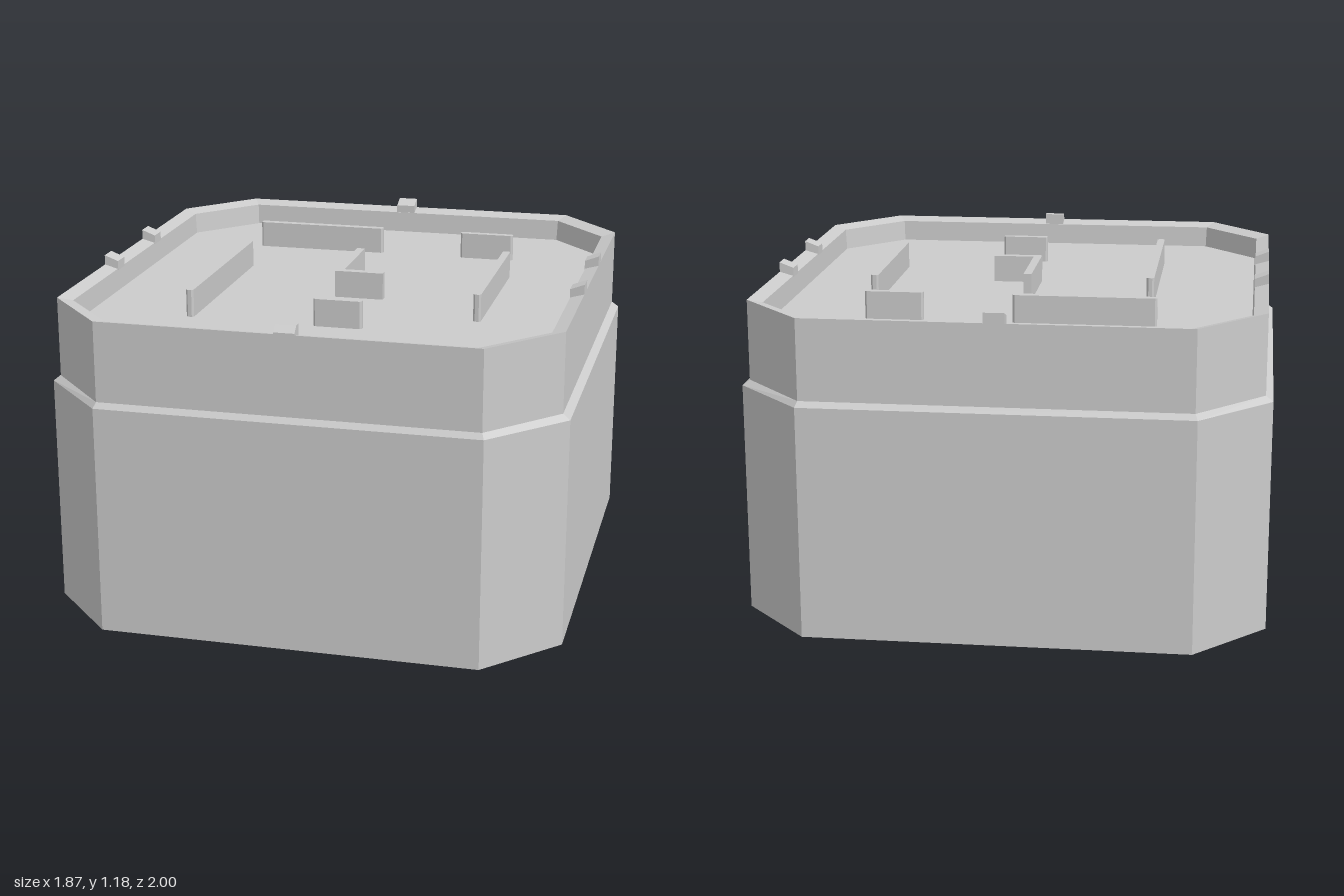
import * as THREE from 'three';
import { mergeGeometries } from 'three/addons/utils/BufferGeometryUtils.js';

const FLOOR = 1.05, BAR_TOP = 1.15;
const material = new THREE.MeshStandardMaterial({ color: 0xcccccc, flatShading: true, side: THREE.DoubleSide });

// Eight-sided outline in plan; second coordinate is -z. hx, hz: half sizes, cx, cz: where the corner cuts begin
function octagon(hx, hz, cx, cz, x = 0, z = 0) {
  return [[hx, -cz], [hx, cz], [cx, hz], [-cx, hz], [-hx, cz], [-hx, -cz], [-cx, -hz], [cx, -hz]]
    .map(([a, b]) => [a + x, b - z]);
}

// Wall joining each outline to the next, from levels [outline, y]
function walls(levels) {
  const pos = [];
  for (let k = 0; k < levels.length - 1; k++) {
    const [lo, y0] = levels[k], [hi, y1] = levels[k + 1];
    lo.forEach((p, i) => {
      const j = (i + 1) % lo.length;
      const a = [p[0], y0, -p[1]], b = [lo[j][0], y0, -lo[j][1]];
      const c = [hi[j][0], y1, -hi[j][1]], d = [hi[i][0], y1, -hi[i][1]];
      pos.push(...a, ...b, ...c, ...a, ...c, ...d);
    });
  }
  const g = new THREE.BufferGeometry();
  g.setAttribute('position', new THREE.Float32BufferAttribute(pos, 3));
  g.computeVertexNormals();
  return g;
}

// Horizontal sheet with optional cut-outs
function sheet(outline, y, holes = []) {
  const vec = (pts) => pts.map((p) => new THREE.Vector2(...p));
  const shape = new THREE.Shape(vec(outline));
  holes.forEach((h) => shape.holes.push(new THREE.Path(vec(h))));
  const g = new THREE.ShapeGeometry(shape).toNonIndexed();
  g.deleteAttribute('uv');
  return g.rotateX(-Math.PI / 2).translate(0, y, 0);
}

export function createModel() {
  const model = new THREE.Group();
  const add = (name, geometry) => {
    const mesh = new THREE.Mesh(geometry, material);
    mesh.name = name;
    model.add(mesh);
    return mesh;
  };

  // Thin stepped shell, open below, with a rim that turns down to the sunken floor
  const base = octagon(0.933, 1, 0.683, 0.733);
  const upper = octagon(0.907, 0.985, 0.675, 0.727);
  const rimInner = octagon(0.857, 0.932, 0.648, 0.7);
  const floor = octagon(0.852, 0.927, 0.645, 0.697);
  add('lowerWall', walls([[base, 0], [base, 0.835]]));
  add('ledge', walls([[base, 0.835], [upper, 0.855]]));
  add('upperWall', walls([[upper, 0.855], [upper, 1.144]]));
  add('rim', walls([[upper, 1.144], [rimInner, 1.13], [floor, FLOOR]]));

  // Raised bars on the floor, hollow underneath: x0, x1, z0, z1
  const bars = [
    [-0.52, -0.01, -0.57, -0.54],
    [0.31, 0.52, -0.567, -0.54],
    [-0.49, -0.462, -0.227, 0.54],
    [0.525, 0.553, -0.29, 0.36],
    [-0.015, 0.162, 0.522, 0.55],
  ].map(([x0, x1, z0, z1]) => {
    const hx = (x1 - x0) / 2, hz = (z1 - z0) / 2, cut = 0.007;
    return octagon(hx, hz, hx - cut, hz - cut, (x0 + x1) / 2, (z0 + z1) / 2);
  });
  // Angled bar in the middle
  bars.push([[-0.035, 0.205], [-0.035, -0.153], [0.148, -0.153], [0.148, -0.122], [-0.005, -0.122], [-0.005, 0.205]]);

  add('floor', sheet(floor, FLOOR, bars));
  bars.forEach((outline, i) => add(`floorBar${i + 1}`,
    mergeGeometries([walls([[outline, FLOOR], [outline, BAR_TOP]]), sheet(outline, BAR_TOP)])));

  // Small tabs on the rim: profile (outward distance, height) extruded to the tab width
  const tab = (name, profile, width, x, z, turn) => {
    const g = new THREE.ExtrudeGeometry(new THREE.Shape(profile.map((p) => new THREE.Vector2(...p))),
      { depth: width, bevelEnabled: false });
    const mesh = add(name, g.translate(0, 0, -width / 2));
    mesh.position.set(x, 0, z);
    mesh.rotation.y = turn;
  };
  const wedge = [[-0.052, 1.125], [0, 1.14], [0, 1.18], [-0.052, 1.16]];
  const frontWedge = [[-0.05, 1.125], [0, 1.14], [0, 1.15], [-0.025, 1.172], [-0.05, 1.172]];
  for (const z of [-0.21, 0.21]) {
    tab('leftTab', wedge, 0.07, 0.907, z, 0);
    tab('rightTab', wedge, 0.07, -0.907, z, Math.PI);
  }
  tab('backTab', wedge, 0.074, 0, -0.985, Math.PI / 2);
  tab('frontTab', frontWedge, 0.074, 0, 0.985, -Math.PI / 2);

  return model;
}
